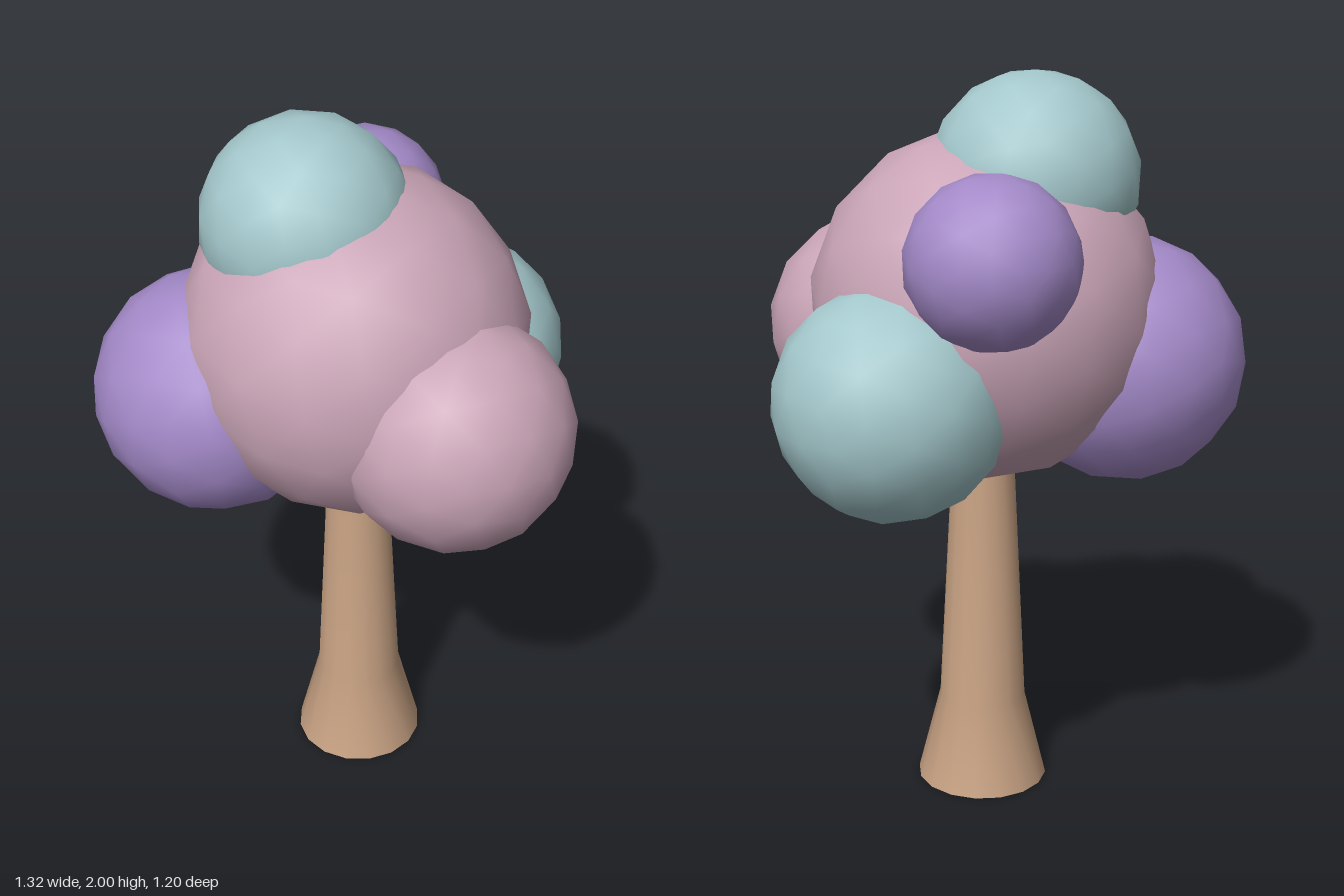
import * as THREE from 'three';

const material = (name, color) => {
  const m = new THREE.MeshStandardMaterial({ color });
  m.name = name;
  return m;
};

export function createModel() {
  const bark = material('bark', 0xc9a384);
  const pink = material('pink leaves', 0xcaa5b7);
  const teal = material('teal leaves', 0xa4c8cc);
  const purple = material('purple leaves', 0xa48ac9);

  const tree = new THREE.Group();
  tree.name = 'tree';

  const add = (parent, name, geometry, mat, x, y, z) => {
    const mesh = new THREE.Mesh(geometry, mat);
    mesh.name = name;
    mesh.position.set(x, y, z);
    parent.add(mesh);
    return mesh;
  };

  // Tapered trunk with a flared foot, closed underneath
  const trunk = new THREE.Group();
  trunk.name = 'trunk';
  trunk.position.set(-0.02, 0, -0.065);
  tree.add(trunk);
  const profile = [[0.182, 0], [0.12, 0.25], [0.085, 0.96], [0.08, 1.1]]
    .map(([r, y]) => new THREE.Vector2(r, y));
  add(trunk, 'trunkSide', new THREE.LatheGeometry(profile, 16), bark, 0, 0, 0);
  add(trunk, 'trunkBase', new THREE.CircleGeometry(0.182, 16).rotateX(Math.PI / 2), bark, 0, 0, 0);

  // Overlapping low-poly foliage balls: name, material, radius, centre, turn
  const foliage = new THREE.Group();
  foliage.name = 'foliage';
  tree.add(foliage);
  const balls = [
    ['mainFoliage', pink, 0.472, [-0.02, 1.385, -0.08], 0.3],
    ['frontFoliage', pink, 0.318, [0.055, 1.268, 0.285], 0.9],
    ['leftFoliage', teal, 0.31, [0.35, 1.195, -0.15], 1.4],
    ['topFoliage', teal, 0.28, [-0.11, 1.722, -0.16], 0.5],
    ['backRightFoliage', purple, 0.334, [-0.332, 1.224, -0.275], 2.1],
    ['backLeftFoliage', purple, 0.225, [0.2, 1.573, -0.37], 1.1],
  ];
  for (const [name, mat, radius, centre, turn] of balls) {
    const ball = add(foliage, name, new THREE.IcosahedronGeometry(radius, 2), mat, ...centre);
    ball.rotation.set(turn * 0.7, turn, turn * 0.4);
  }

  return tree;
}
